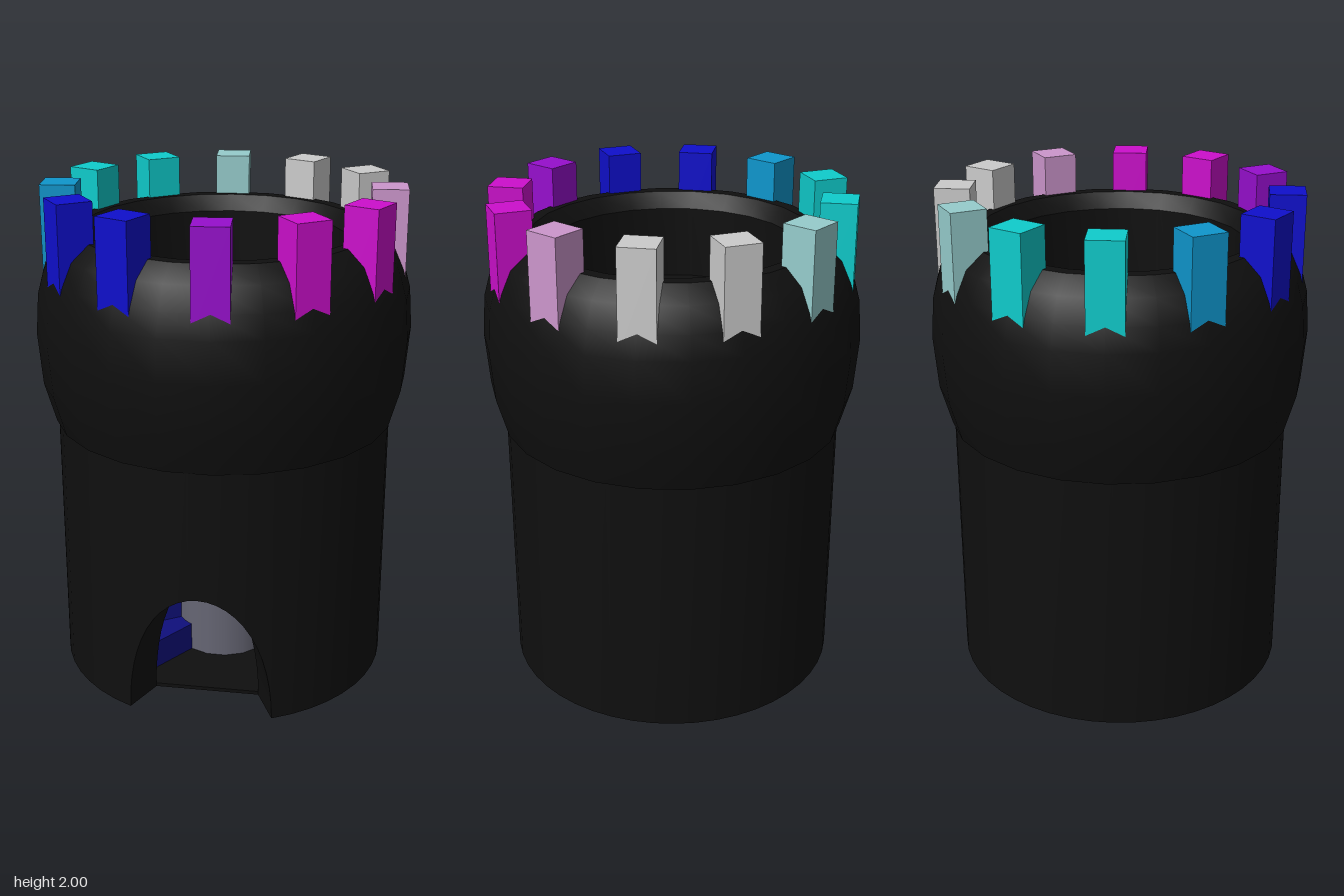
import * as THREE from 'three';
import { toCreasedNormals } from 'three/addons/utils/BufferGeometryUtils.js';

const rad = THREE.MathUtils.degToRad;
const INNER = 0.5, OUTER = 0.675, FLOOR = 1.485;
const DOOR = { angle: 145, half: 25, height: 0.54 };
const BRIGHT = [0xcccccc, 0xcc0fcc, 0x0f0fcc, 0x0fcccc];
const DULL = [0x666674, 0x660f74, 0x0f0f7c, 0x0f6874];

function add(parent, name, geometry, color) {
  const mesh = new THREE.Mesh(geometry, new THREE.MeshStandardMaterial({ color }));
  mesh.name = name;
  parent.add(mesh);
  return mesh;
}

// Colour for a direction round the tower, blending between the four quarters
function quarterColor(palette, degrees) {
  const q = (((degrees - 5) % 360) + 360) % 360 / 90;
  const i = Math.floor(q);
  const t = THREE.MathUtils.smoothstep(q - i, 0.3, 0.7);
  return new THREE.Color(palette[i]).lerp(new THREE.Color(palette[(i + 1) % 4]), t);
}

// Flat plan in x/z, extruded between two heights
function slab(shape, bottom, top, curveSegments = 32) {
  const g = new THREE.ExtrudeGeometry(shape, { depth: top - bottom, bevelEnabled: false, curveSegments });
  g.rotateX(Math.PI / 2);
  g.translate(0, top, 0);
  return toCreasedNormals(g, 0.5);
}

// Ring wall whose lower edge rises over the doorway arch
function wallGeometry() {
  const sections = [];
  for (let i = 0; i < 24; i++) {
    const t = (i / 24) * Math.PI;
    sections.push([DOOR.angle - DOOR.half * Math.cos(t), DOOR.height * Math.sin(t)]);
  }
  const rest = 360 - 2 * DOOR.half;
  for (let i = 0; i < 42; i++) sections.push([DOOR.angle + DOOR.half + (rest * i) / 42, 0]);

  const positions = [], index = [], n = sections.length;
  sections.forEach(([deg, y], i) => {
    const c = Math.cos(rad(deg)), s = Math.sin(rad(deg));
    for (const [r, h] of [[INNER, y], [OUTER, y], [OUTER, 1.08], [INNER, 1.08]]) {
      positions.push(r * c, h, r * s);
    }
    for (let j = 0; j < 4; j++) {
      const a = i * 4 + j, a2 = i * 4 + (j + 1) % 4;
      const b = ((i + 1) % n) * 4 + j, b2 = ((i + 1) % n) * 4 + (j + 1) % 4;
      index.push(a, a2, b, b, a2, b2);
    }
  });
  const g = new THREE.BufferGeometry();
  g.setAttribute('position', new THREE.Float32BufferAttribute(positions, 3));
  g.setIndex(index);
  return toCreasedNormals(g, 0.5);
}

export function createModel() {
  const tower = new THREE.Group();
  tower.name = 'tower';
  const black = 0x0f0f0f;

  add(tower, 'wall', wallGeometry(), black);

  // Bulging 24-sided crown on top of the wall
  const profile = [
    [INNER, 1.07], [0.685, 1.07], [0.73, 1.23], [0.747, 1.44], [0.735, 1.6], [0.71, 1.69],
    [0.67, 1.78], [0.6, 1.84], [0.55, 1.84], [INNER, 1.78], [INNER, 1.07],
  ].map(([r, y]) => new THREE.Vector2(r, y));
  add(tower, 'crown', toCreasedNormals(new THREE.LatheGeometry(profile, 24, rad(10)), 0.5), black);

  // Ground floor, cut straight across at the doorway
  const ground = new THREE.Shape();
  ground.absarc(0, 0, INNER, rad(DOOR.angle + DOOR.half), rad(DOOR.angle - DOOR.half + 360), false);
  add(tower, 'groundFloor', slab(ground, 0, 0.015), black);

  // Upper floor with the stairwell opening on the +x side
  const upper = new THREE.Shape();
  upper.absarc(0, 0, INNER, rad(67.5), rad(292.5), false);
  upper.lineTo(0.1, 0.09);
  add(tower, 'upperFloor', slab(upper, FLOOR - 0.06, FLOOR), black);

  // Spiral stair climbing round a central post
  const stairs = new THREE.Group();
  stairs.name = 'spiralStair';
  tower.add(stairs);
  for (let k = 1; k <= 11; k++) {
    const start = 180 + 22.5 * (k - 1), end = start + 22.5;
    const plan = new THREE.Shape();
    plan.absarc(0, 0, INNER, rad(start), rad(end), false);
    plan.absarc(0, 0, 0.2, rad(end), rad(start), true);
    add(stairs, 'step', slab(plan, 0.015, 0.135 * k, 3), quarterColor(DULL, start + 11.25));
  }
  const post = add(stairs, 'post', new THREE.CylinderGeometry(0.2, 0.2, 1.4, 16), DULL[0]);
  post.position.y = 0.715;

  // Twelve coloured battlement blocks
  const battlements = new THREE.Group();
  battlements.name = 'battlements';
  tower.add(battlements);
  const blockGeometry = new THREE.BoxGeometry(0.14, 0.4, 0.14);
  for (let i = 0; i < 12; i++) {
    const deg = -10 + 30 * i;
    const block = add(battlements, 'battlement', blockGeometry, quarterColor(BRIGHT, deg));
    block.position.set(0.64 * Math.cos(rad(deg)), 1.8, 0.64 * Math.sin(rad(deg)));
    block.rotation.y = -rad(deg);
  }
  return tower;
}
